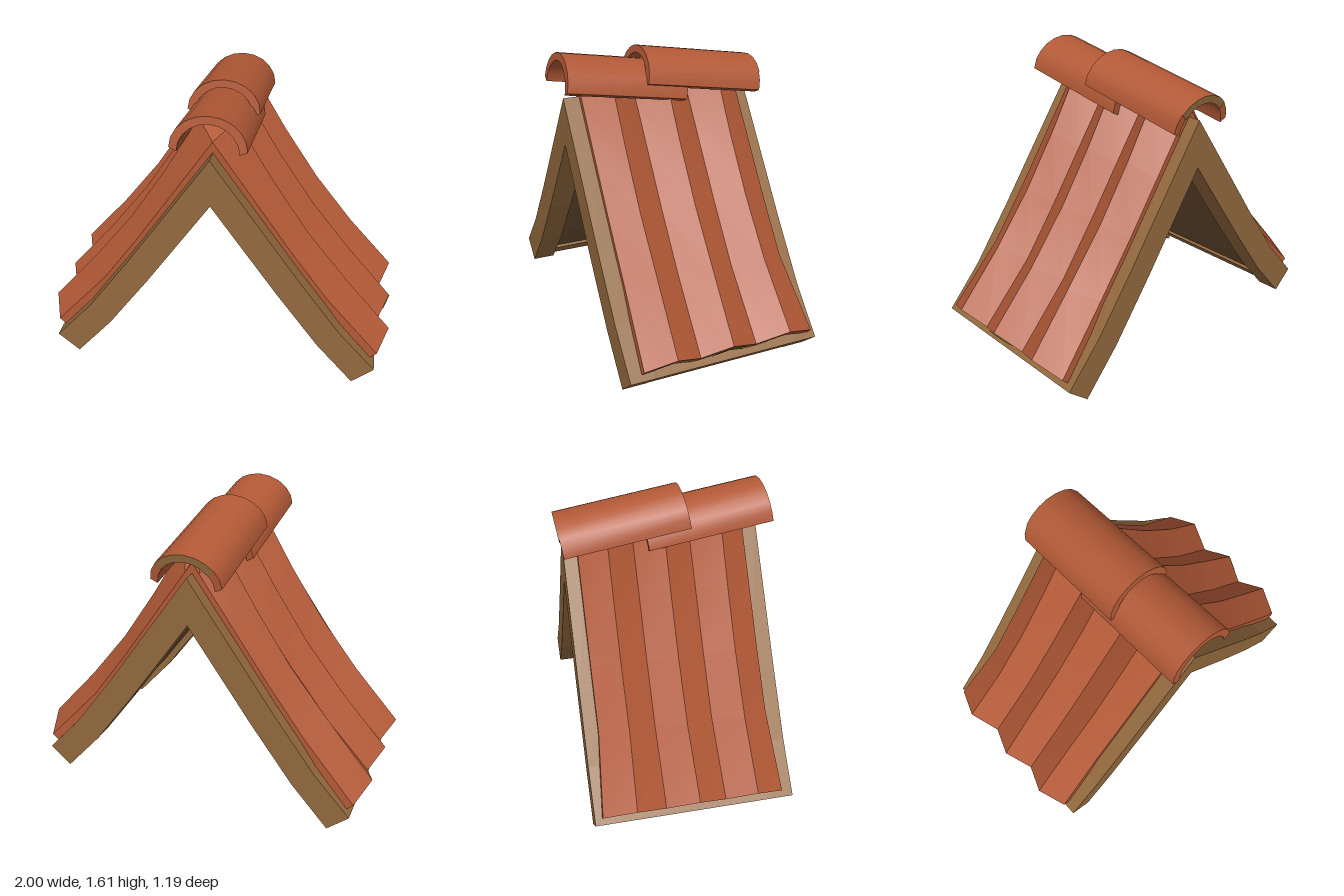
import * as THREE from 'three';
import { toCreasedNormals } from 'three/addons/utils/BufferGeometryUtils.js';

const mat = (name, color, side = THREE.FrontSide) => {
  const m = new THREE.MeshStandardMaterial({ color, side });
  m.name = name;
  return m;
};

// Rafter profile, ridge to eave
const OUTER = [[0, 1.36], [0.486, 0.66], [0.72, 0.34], [0.93, 0.105]];
const INNER = [[0, 1.09], [0.36, 0.57], [0.6, 0.24], [0.81, 0]];
const mix = (a, b, k) => a.map((v, i) => v + (b[i] - v) * k);
const layer = (k) => OUTER.map((p, i) => mix(p, INNER[i], k));
const mirrorX = (pts) => pts.map(([x, y]) => [-x, y]);
const toShape = (pts) => new THREE.Shape(pts.map(([x, y]) => new THREE.Vector2(x, y)));

// Chevron outline between two layers of the profile, cut short at the eave
function chevron(k0, k1, cut = 0) {
  const trimmed = (k) => {
    const p = layer(k);
    return [p[0], p[1], p[2], mix(p[3], p[2], cut)];
  };
  const o = trimmed(k0), i = trimmed(k1);
  return toShape([
    ...o, ...i.slice().reverse(),
    ...mirrorX(i.slice(1)), ...mirrorX(o.slice(1)).reverse(),
  ]);
}

function extrude(shape, z0, z1) {
  const g = new THREE.ExtrudeGeometry(shape, { depth: z1 - z0, bevelEnabled: false });
  g.translate(0, 0, z0);
  return g;
}

function quadGeometry(quads, flip) {
  const pos = [];
  for (const [a, b, c, d] of quads) {
    pos.push(...(flip ? [a, c, b, a, d, c] : [a, b, c, a, c, d]).flat());
  }
  const g = new THREE.BufferGeometry();
  g.setAttribute('position', new THREE.Float32BufferAttribute(pos, 3));
  return toCreasedNormals(g, 0.3);
}

// Zigzag tile sheet: crest and valley lines run down the slope
const CREST = [[0, 1.48], [0.1, 1.48], [0.3, 1.14], [0.5, 0.835], [0.73, 0.54], [1.0, 0.23]];
const VALLEY = [[0, 1.42], [0.04, 1.36], [0.24, 1.065], [0.43, 0.785], [0.64, 0.495], [0.94, 0.165]];
const FOLDS = [0.46, 0.31, 0.15, -0.01, -0.17, -0.325, -0.48];
const EAVE_FOLDS = [0.48, 0.32, 0.16, 0, -0.17, -0.34, -0.515];

function tilePoints(s) {
  const last = CREST.length - 1;
  const grid = (dx, dy) => CREST.map((c, i) => FOLDS.map((z, j) => {
    const [x, y] = j % 2 ? c : VALLEY[i];
    return [s * (i ? x - dx : 0), y - dy, i === last ? EAVE_FOLDS[j] : z];
  }));
  return { top: grid(0, 0), bottom: grid(0.05, 0.047), last };
}

function tileSheet(s) {
  const { top: T, bottom: B, last } = tilePoints(s);
  const n = FOLDS.length - 1, quads = [];
  for (let i = 0; i < last; i++) {
    for (let j = 0; j < n; j++) {
      quads.push([T[i][j], T[i + 1][j], T[i + 1][j + 1], T[i][j + 1]]);
      quads.push([B[i][j], B[i][j + 1], B[i + 1][j + 1], B[i + 1][j]]);
    }
    quads.push([T[i][0], B[i][0], B[i + 1][0], T[i + 1][0]]);
    quads.push([T[i][n], T[i + 1][n], B[i + 1][n], B[i][n]]);
  }
  for (let j = 0; j < n; j++) {
    quads.push([T[last][j], B[last][j], B[last][j + 1], T[last][j + 1]]);
  }
  return quadGeometry(quads, s < 0);
}

// Moss on the end of the middle crest
function mossPatch() {
  const { top: T, bottom: B, last } = tilePoints(1);
  const out = ([x, y, z]) => [x + 0.004, y - 0.003, z];
  const t = T[last], b = B[last];
  const at = (row, j) => out(mix(row[3], row[j], 0.55));
  const tc = out(t[3]), bc = out(b[3]);
  return quadGeometry([[at(t, 2), at(b, 2), bc, tc], [tc, bc, at(b, 4), at(t, 4)]], false);
}

// Half-round ridge cap section, or the part of it between two steps
function capShape(from = 0, to = 10) {
  const arc = (rx, ry, y0) => Array.from({ length: to - from + 1 }, (_, i) => {
    const a = ((from + i) / 10) * Math.PI;
    return [rx * Math.cos(a), y0 + ry * Math.sin(a)];
  });
  return toShape([...arc(0.2, 0.172, 0.02), ...arc(0.16, 0.15, 0).reverse()]);
}

export function createModel() {
  const root = new THREE.Group();
  root.name = 'roof';
  const tile = mat('terracotta', 0xb25936);
  const wood = mat('wood', 0x93693e);
  const darkWood = mat('dark wood', 0x6e4f35);
  const moss = mat('moss', 0x6a8010, THREE.DoubleSide);
  const add = (name, geo, material, parent = root) => {
    const m = new THREE.Mesh(geo, material);
    m.name = name;
    parent.add(m);
    return m;
  };

  // Timber frame with a deck under the tiles and a shallow inner panel
  add('frontRafters', extrude(chevron(0, 1), 0.415, 0.55), wood);
  add('backRafters', extrude(chevron(0, 1), -0.555, -0.42), wood);
  add('deck', extrude(chevron(0.02, 0.2, 0.1), -0.42, 0.415), wood);
  add('innerPanel', extrude(chevron(0.2, 0.74, 0.1), -0.42, 0.415), darkWood);

  // Eave rails and tile sheets on both slopes
  for (const [side, s] of [['left', 1], ['right', -1]]) {
    const o = layer(0), i = layer(0.85);
    const rail = [mix(o[3], o[2], 0.23), o[3], i[3], mix(i[3], i[2], 0.23)];
    add(side + 'EaveRail', extrude(toShape(s > 0 ? rail : mirrorX(rail)), -0.42, 0.415), wood);
    add(side + 'Tiles', tileSheet(s), tile);
  }
  add('mossPatch', mossPatch(), moss);

  // Overlapping ridge caps, tipped up at the front
  const capGeo = toCreasedNormals(extrude(capShape(), 0, 0.7), 0.6);
  for (const [name, z] of [['frontRidgeCap', -0.1], ['backRidgeCap', -0.56]]) {
    const cap = new THREE.Group();
    cap.name = name;
    cap.position.set(0, 1.312, z);
    cap.rotation.x = -0.158;
    add(name + 'Shell', capGeo, tile, cap);
    if (z < -0.5) add('backCapEnd', extrude(capShape(2, 8), -0.004, 0), wood, cap);
    root.add(cap);
  }
  return root;
}
